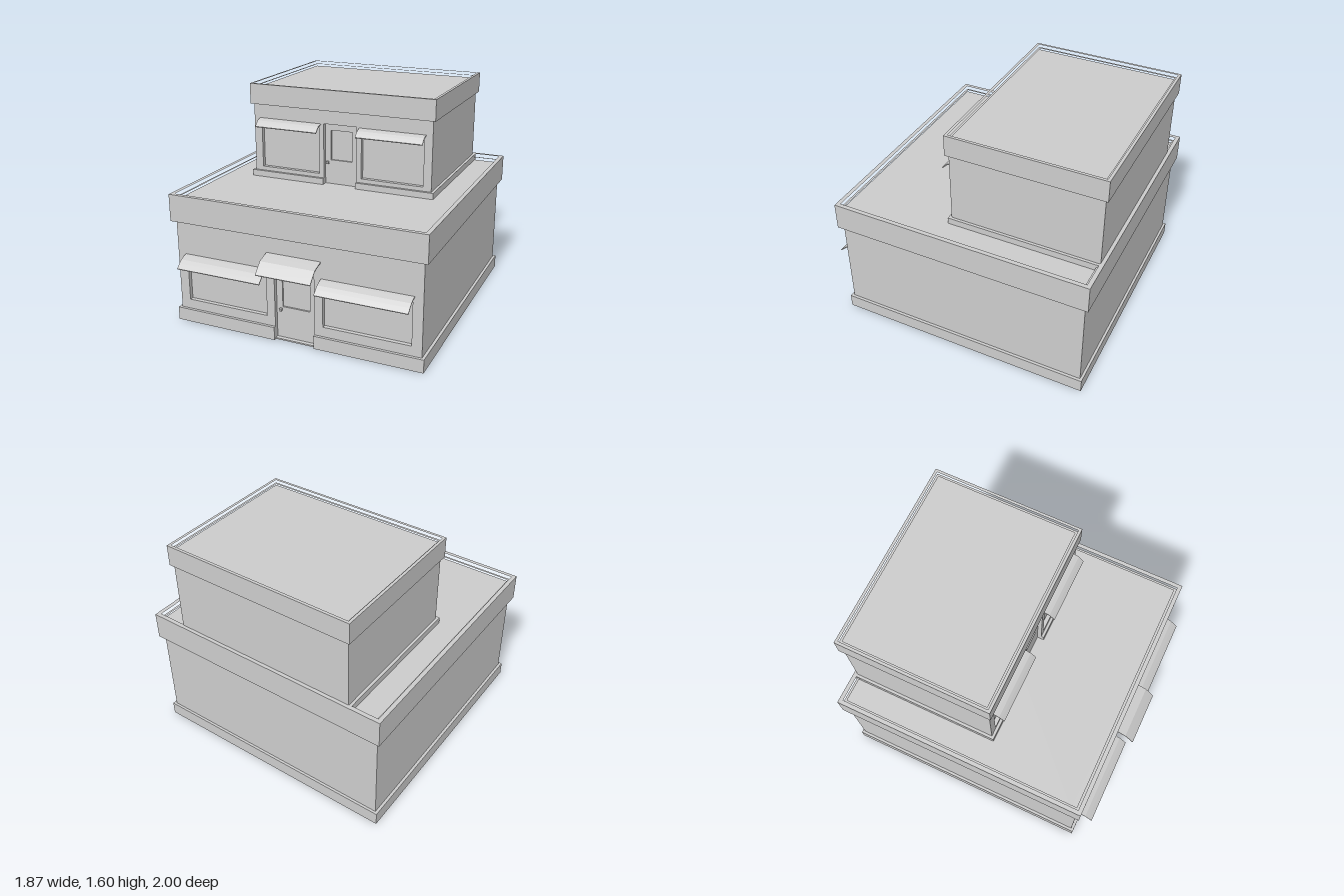
import * as THREE from 'three';

const material = new THREE.MeshStandardMaterial({ color: 0xcccccc, flatShading: true });

function add(parent, name, geometry, x = 0, y = 0, z = 0) {
  const mesh = new THREE.Mesh(geometry, material);
  mesh.name = name;
  mesh.position.set(x, y, z);
  parent.add(mesh);
  return mesh;
}

function outline(points, Type = THREE.Shape) {
  return new Type(points.map(([x, y]) => new THREE.Vector2(x, y)));
}

const rect = (x0, x1, y0, y1) => [[x0, y0], [x1, y0], [x1, y1], [x0, y1]];

function extrude(shape, depth) {
  return new THREE.ExtrudeGeometry(shape, { depth, bevelEnabled: false });
}

// Box from its limits
function block(parent, name, x0, x1, y0, y1, z0, z1) {
  add(parent, name, new THREE.BoxGeometry(x1 - x0, y1 - y0, z1 - z0),
    (x0 + x1) / 2, (y0 + y1) / 2, (z0 + z1) / 2);
}

// Plan shape (points are x, z) raised from y0 to y1
function slab(parent, name, plan, y0, y1, hole) {
  const flip = (pts) => pts.map(([x, z]) => [x, -z]);
  const shape = outline(flip(plan));
  if (hole) shape.holes.push(outline(flip(hole), THREE.Path));
  add(parent, name, extrude(shape, y1 - y0).rotateX(-Math.PI / 2), 0, y0, 0);
}

// Thin bent sheet: profile points are z, y from the wall outwards
function awning(parent, name, x0, x1, profile) {
  const t = 0.006;
  const under = profile.map(([z, y]) => [z - t * 0.5, y - t]).reverse();
  const shape = outline([...profile, ...under].map(([z, y]) => [-z, y]));
  add(parent, name, extrude(shape, x1 - x0).rotateY(Math.PI / 2), x0, 0, 0);
}

function storey(name, s) {
  const g = new THREE.Group();
  g.name = name;
  const recess = 0.03, wall = 0.05;
  const inner = s.front - wall;

  // Main volume, topped by the flat roof
  block(g, 'bodyAndRoof', -s.half, s.half, s.floor, s.roof, s.back, inner);

  // Front wall with openings for the door and the two windows
  const front = outline(rect(-s.half, s.half, s.floor, s.roof));
  const door = rect(-s.doorHalf, s.doorHalf, s.doorBottom, s.doorTop);
  front.holes.push(outline(door, THREE.Path));
  for (const side of [-1, 1]) {
    const [a, b] = [side * s.window[0], side * s.window[1]].sort((p, q) => p - q);
    const pane = rect(a, b, s.window[2], s.window[3]);
    front.holes.push(outline(pane, THREE.Path));
    block(g, side > 0 ? 'leftWindow' : 'rightWindow', a, b, s.window[2], s.window[3],
      inner, s.front - recess);
  }
  add(g, 'frontWall', extrude(front, wall), 0, 0, inner);

  // Door leaf with an inset glass panel and a small handle
  const leaf = outline(door);
  const p = s.doorHalf - 0.045;
  leaf.holes.push(outline(rect(-p, p, s.handleY + 0.02, s.doorTop - 0.05), THREE.Path));
  add(g, 'doorLeaf', extrude(leaf, 0.02), 0, 0, inner);
  block(g, 'doorGlass', -p, p, s.handleY + 0.02, s.doorTop - 0.05, inner, inner + 0.008);
  block(g, 'doorHandle', s.handleX - 0.009, s.handleX + 0.009, s.handleY - 0.009,
    s.handleY + 0.009, inner + 0.02, inner + 0.04);

  // Plinth, interrupted at the door
  const b = s.half + 0.02, f = s.front + 0.02, r = s.back - 0.018, d = s.doorHalf;
  slab(g, 'plinth', [[-b, r], [b, r], [b, f], [d, f], [d, inner], [-d, inner], [-d, f], [-b, f]],
    s.floor, s.plinthTop);

  // Parapet with a lower ledge on its inside
  const o = s.overhang;
  const ring = (k) => rect(-s.half - k, s.half + k, s.back - k, s.front + k);
  slab(g, 'parapet', ring(o), s.parapet[0], s.parapet[1], ring(0));
  slab(g, 'parapetLedge', ring(0), s.roof - 0.01, (s.roof + s.parapet[1]) / 2, ring(-0.017));

  // Window awnings
  for (const side of [-1, 1]) {
    const [x0, x1] = [side * s.awning[0], side * s.awning[1]].sort((u, v) => u - v);
    awning(g, side > 0 ? 'leftAwning' : 'rightAwning', x0, x1, s.awningProfile);
  }
  return g;
}

export function createModel() {
  const model = new THREE.Group();
  model.name = 'shopBuilding';

  const lower = storey('lowerStorey', {
    half: 0.905, front: 0.84, back: -0.97, floor: 0, roof: 0.9,
    plinthTop: 0.095, parapet: [0.755, 0.95], overhang: 0.03,
    doorHalf: 0.148, doorBottom: 0.01, doorTop: 0.54, handleX: -0.115, handleY: 0.22,
    window: [0.21, 0.833, 0.165, 0.475],
    awning: [0.2, 0.845],
    awningProfile: [[0.835, 0.516], [0.865, 0.508], [0.9, 0.494], [0.925, 0.474], [0.955, 0.446]],
  });
  // Larger awning over the entrance
  awning(lower, 'doorAwning', -0.2, 0.2,
    [[0.835, 0.635], [0.88, 0.623], [0.932, 0.606], [0.965, 0.573], [1.0, 0.535]]);
  model.add(lower);

  model.add(storey('upperStorey', {
    half: 0.69, front: 0.09, back: -0.975, floor: 0.89, roof: 1.56,
    plinthTop: 0.945, parapet: [1.45, 1.6], overhang: 0.02,
    doorHalf: 0.128, doorBottom: 0.9, doorTop: 1.35, handleX: -0.108, handleY: 1.06,
    window: [0.165, 0.63, 0.975, 1.32],
    awning: [0.15, 0.642],
    awningProfile: [[0.085, 1.348], [0.11, 1.343], [0.133, 1.335], [0.15, 1.32], [0.172, 1.298]],
  }));

  return model;
}
